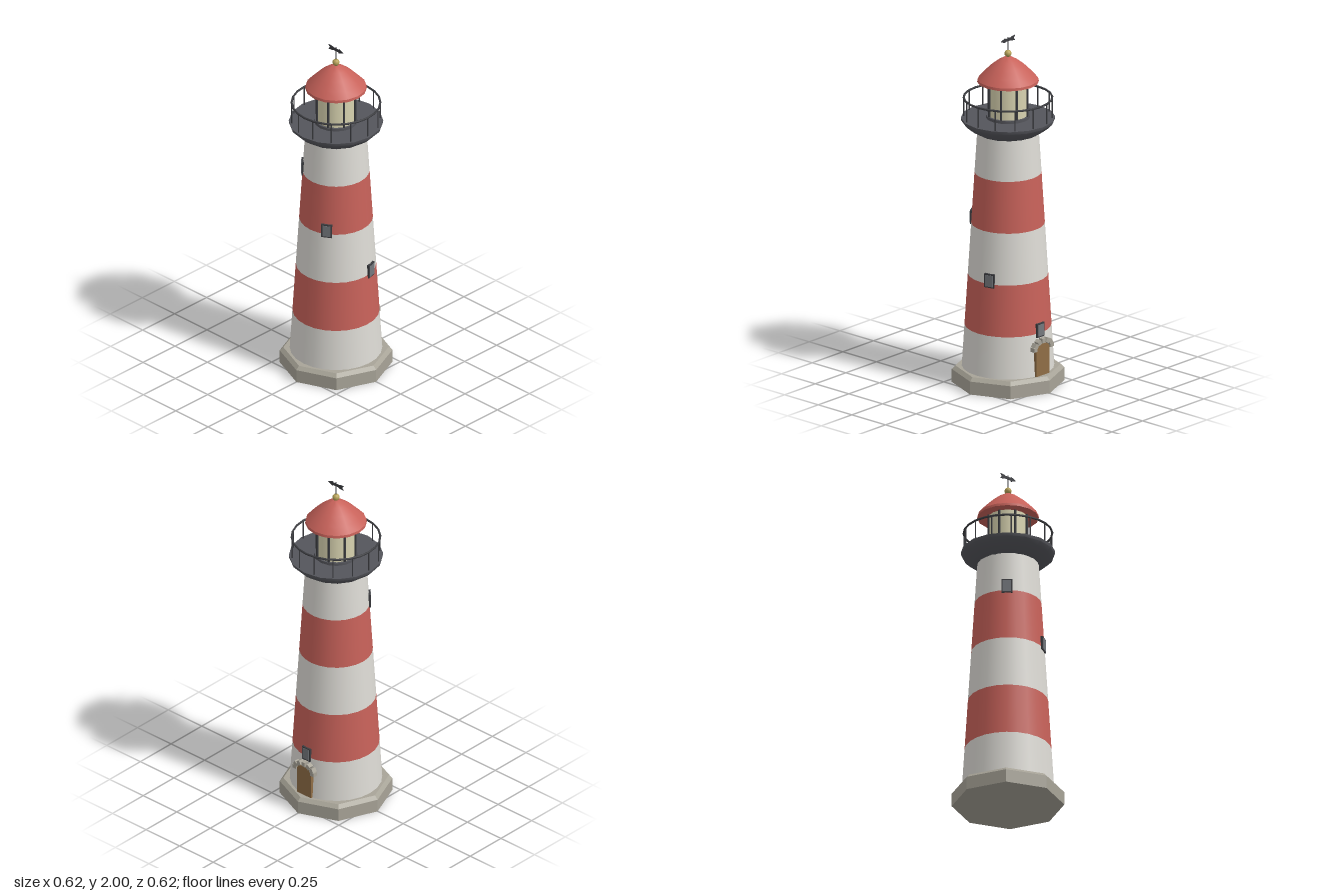
import * as THREE from 'three';
import { toCreasedNormals } from 'three/addons/utils/BufferGeometryUtils.js';

const mat = (color, extra = {}) => {
  const m = new THREE.MeshStandardMaterial(extra);
  m.color.set(color);
  return m;
};

export function createModel() {
  const model = new THREE.Group();
  model.name = 'lighthouse';

  const white = mat(0xdedcd6);
  const red = mat(0xc8625a);
  const dark = mat(0x54555b);
  const iron = mat(0x3c3d41);
  const stone = mat(0xa8a498, { flatShading: true });
  const glass = mat(0xd8d3b0);
  const pane = mat(0x74787d);
  const gold = mat(0xb8a45a);
  const wood = mat(0x8f6d45);

  const add = (name, geometry, material, x = 0, y = 0, z = 0, parent = model) => {
    const mesh = new THREE.Mesh(geometry, material);
    mesh.name = name;
    mesh.position.set(x, y, z);
    parent.add(mesh);
    return mesh;
  };
  const lathe = (points, sides) => toCreasedNormals(
    new THREE.LatheGeometry(points.map(([x, y]) => new THREE.Vector2(x, y)), sides), 0.6);
  const box = (w, h, d) => new THREE.BoxGeometry(w, h, d);

  // Octagonal plinth with a bevelled top edge
  add('plinth', new THREE.CylinderGeometry(0.31, 0.31, 0.075, 8), stone, 0, 0.0375);
  add('plinthBevel', new THREE.CylinderGeometry(0.29, 0.31, 0.02, 8), stone, 0, 0.085);

  // Tapered tower in alternating bands
  const towerRadius = (y) => 0.255 - 0.0625 * (y - 0.09);
  const levels = [0.09, 0.335, 0.63, 0.925, 1.22, 1.48];
  for (let i = 0; i < 5; i++) {
    const [y0, y1] = [levels[i], levels[i + 1]];
    add('towerBand', new THREE.CylinderGeometry(towerRadius(y1), towerRadius(y0), y1 - y0, 24, 1, true),
      i % 2 ? red : white, 0, (y0 + y1) / 2);
  }

  // Small windows spiralling up the tower
  for (let i = 0; i < 4; i++) {
    const y = 0.353 + i * 0.297;
    const angle = THREE.MathUtils.degToRad(-90 + 75 * i);
    const r = towerRadius(y);
    const win = new THREE.Group();
    win.name = 'window';
    win.position.set(r * Math.cos(angle), y, r * Math.sin(angle));
    win.rotation.y = Math.PI / 2 - angle;
    add('windowFrame', box(0.06, 0.08, 0.02), iron, 0, 0, -0.003, win);
    add('windowPane', box(0.046, 0.066, 0.02), pane, 0, 0, -0.001, win);
    model.add(win);
  }

  // Door at the back under an arch of stones
  const door = new THREE.Group();
  door.name = 'door';
  door.position.z = -0.25;
  const doorShape = new THREE.Shape();
  doorShape.moveTo(-0.052, 0.094).lineTo(0.052, 0.094).lineTo(0.052, 0.25);
  doorShape.absellipse(0, 0.25, 0.052, 0.03, 0, Math.PI, false);
  doorShape.closePath();
  add('doorLeaf', new THREE.ExtrudeGeometry(doorShape, { depth: 0.04, bevelEnabled: false }), wood, 0, 0, -0.01, door);
  for (let i = 0; i < 7; i++) {
    const a = (Math.PI * i) / 6;
    const block = add('archStone', box(0.024, 0.026, 0.03), stone,
      0.066 * Math.cos(a), 0.257 + 0.039 * Math.sin(a), -0.004, door);
    block.rotation.z = a - Math.PI / 2;
  }
  model.add(door);

  // Flared gallery
  add('gallery', lathe([[0, 1.45], [0.168, 1.45], [0.2, 1.468], [0.235, 1.495], [0.257, 1.518],
    [0.26, 1.535], [0, 1.535]], 16), dark);

  // Railing
  const rail = add('handrail', new THREE.TorusGeometry(0.244, 0.006, 6, 24), iron, 0, 1.65);
  rail.rotation.x = Math.PI / 2;
  for (let i = 0; i < 14; i++) {
    const a = (i / 14) * Math.PI * 2;
    add('railPost', new THREE.CylinderGeometry(0.004, 0.004, 0.12, 6), iron,
      0.244 * Math.cos(a), 1.592, 0.244 * Math.sin(a));
  }

  // Lantern room
  add('lanternGlass', new THREE.CylinderGeometry(0.11, 0.11, 0.22, 16), glass, 0, 1.645);
  add('lanternCurb', new THREE.CylinderGeometry(0.122, 0.122, 0.016, 16), dark, 0, 1.543);
  for (let i = 0; i < 8; i++) {
    const a = ((i + 0.5) / 8) * Math.PI * 2;
    add('mullion', new THREE.CylinderGeometry(0.007, 0.007, 0.21, 6), iron,
      0.113 * Math.cos(a), 1.645, 0.113 * Math.sin(a));
  }

  // Domed roof and finial
  add('roof', lathe([[0, 1.745], [0.17, 1.742], [0.168, 1.757], [0.135, 1.793], [0.095, 1.833],
    [0.055, 1.865], [0.022, 1.884], [0, 1.89]], 16), red);
  add('finialBall', new THREE.SphereGeometry(0.02, 16, 12), gold, 0, 1.905);
  add('vaneRod', new THREE.CylinderGeometry(0.003, 0.003, 0.1, 6), iron, 0, 1.95);

  // Weather vane arrow
  const arrow = new THREE.Shape([[-0.057, 0.014], [-0.045, 0], [-0.057, -0.014], [-0.03, -0.012], [-0.02, -0.008],
    [0.02, -0.008], [0.024, -0.014], [0.057, 0], [0.024, 0.014], [0.02, 0.008], [-0.02, 0.008], [-0.03, 0.012],
  ].map(([x, y]) => new THREE.Vector2(x, y)));
  add('weatherVane', new THREE.ExtrudeGeometry(arrow, { depth: 0.004, bevelEnabled: false }), iron, 0, 1.984, -0.002);

  return model;
}
